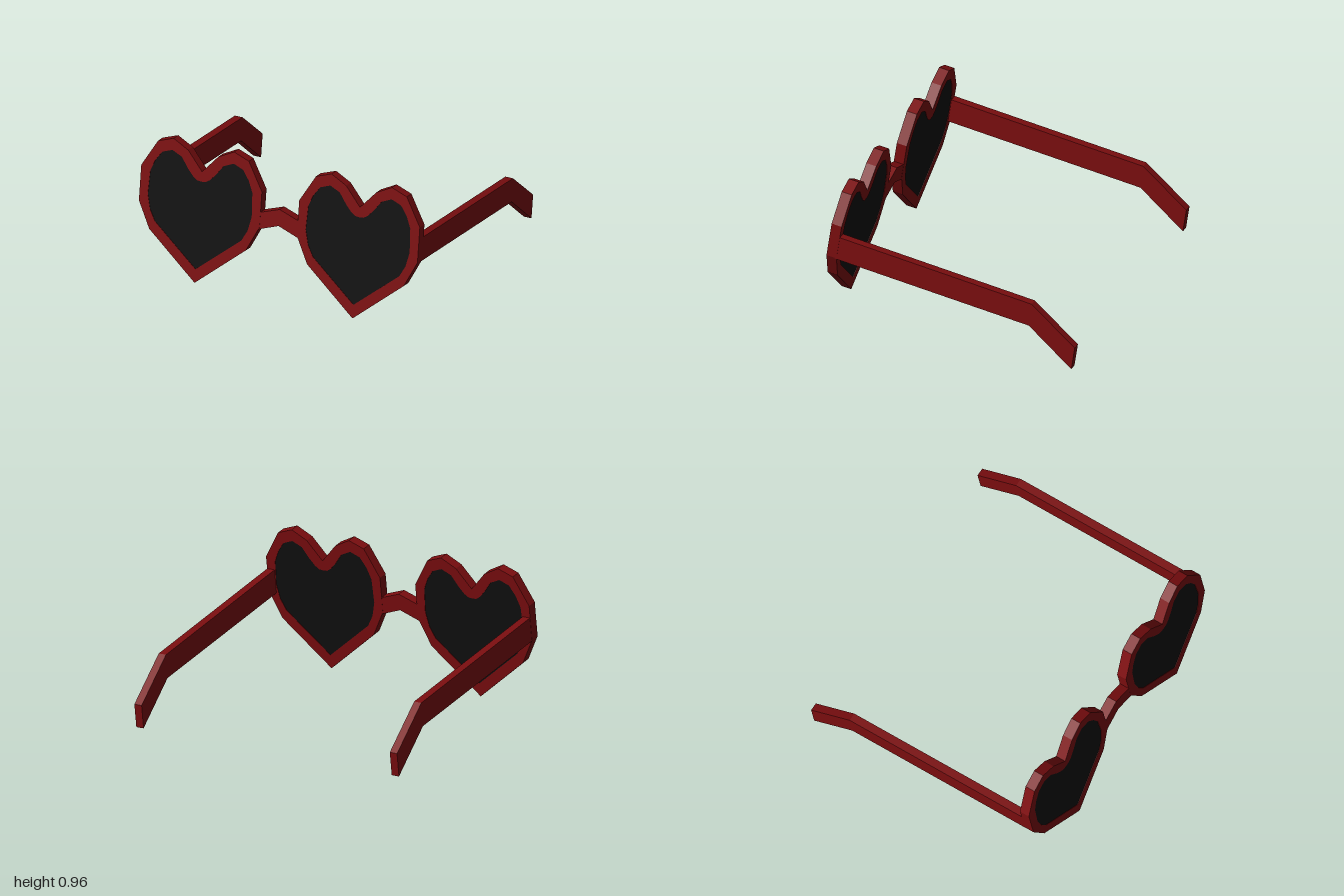
import * as THREE from 'three';

const TILT = 0.147, DEPTH = 0.07, BASE_Y = 0.02, BASE_Z = 0.9;
const HEART_X = 0.567;

// Half outlines from the bottom tip up to the notch: [half width, height]
const RIM = [[0, 0.02], [0.347, 0.316], [0.433, 0.493], [0.433, 0.735], [0.326, 0.922],
  [0.217, 0.962], [0.108, 0.905], [0, 0.78]];
const LENS = [[0, 0.113], [0.31, 0.375], [0.35, 0.45], [0.373, 0.55], [0.366, 0.713], [0.335, 0.79],
  [0.29, 0.855], [0.22, 0.882], [0.15, 0.85], [0.1, 0.78], [0.06, 0.735], [0.03, 0.715], [0, 0.712]];

// Heights are measured upright, so stretch them along the tilted plane
const onPlane = ([x, y]) => new THREE.Vector2(x, (y - BASE_Y) / Math.cos(TILT));

// Mirror a half outline into a closed heart
function heart(half) {
  const mirrored = half.slice(1, -1).reverse().map(([x, y]) => [-x, y]);
  return [...half, ...mirrored].map(onPlane);
}

function slab(shape, depth) {
  const geo = new THREE.ExtrudeGeometry(shape, { depth, bevelEnabled: false });
  return geo.translate(0, 0, -(DEPTH + depth) / 2);
}

function addMesh(parent, name, geo, material, x = 0) {
  const mesh = new THREE.Mesh(geo, material);
  mesh.name = name;
  mesh.position.x = x;
  parent.add(mesh);
}

export function createModel() {
  const red = new THREE.MeshStandardMaterial({ color: 0x7a0d0f });
  red.name = 'dark red frame';
  const black = new THREE.MeshStandardMaterial({ color: 0x0f0f0f });
  black.name = 'black lens';

  const model = new THREE.Group();
  model.name = 'heartSunglasses';

  // Leaning front: rims, lenses and bridge
  const front = new THREE.Group();
  front.name = 'front';
  front.position.set(0, BASE_Y, BASE_Z);
  front.rotation.x = -TILT;
  model.add(front);

  const rimShape = new THREE.Shape(heart(RIM));
  rimShape.holes.push(new THREE.Path(heart(LENS)));
  const rimGeo = slab(rimShape, DEPTH);
  const lensGeo = slab(new THREE.Shape(heart(LENS)), DEPTH - 0.006);

  // Arched bridge between the rims
  const bridge = [[-0.15, 0.475], [0, 0.53], [0.15, 0.475], [0.15, 0.59], [0, 0.643], [-0.15, 0.59]];
  addMesh(front, 'bridge', slab(new THREE.Shape(bridge.map(onPlane)), DEPTH - 0.002), red);

  // Temple side profile as [z, y], bent down behind the ear
  const temple = [[0.75, 0.642], [-0.6, 0.428], [-0.9, 0.165], [-0.876, 0.003], [-0.58, 0.265], [0.775, 0.478]];
  const templeShape = new THREE.Shape(temple.map(([z, y]) => new THREE.Vector2(-z, y)));
  const templeGeo = new THREE.ExtrudeGeometry(templeShape, { depth: 0.055, bevelEnabled: false });
  templeGeo.rotateY(Math.PI / 2).translate(-0.0275, 0, 0);

  for (const [side, s] of [['left', 1], ['right', -1]]) {
    addMesh(front, side + 'Rim', rimGeo, red, s * HEART_X);
    addMesh(front, side + 'Lens', lensGeo, black, s * HEART_X);
    addMesh(model, side + 'Temple', templeGeo, red, s * 0.971);
  }
  return model;
}
